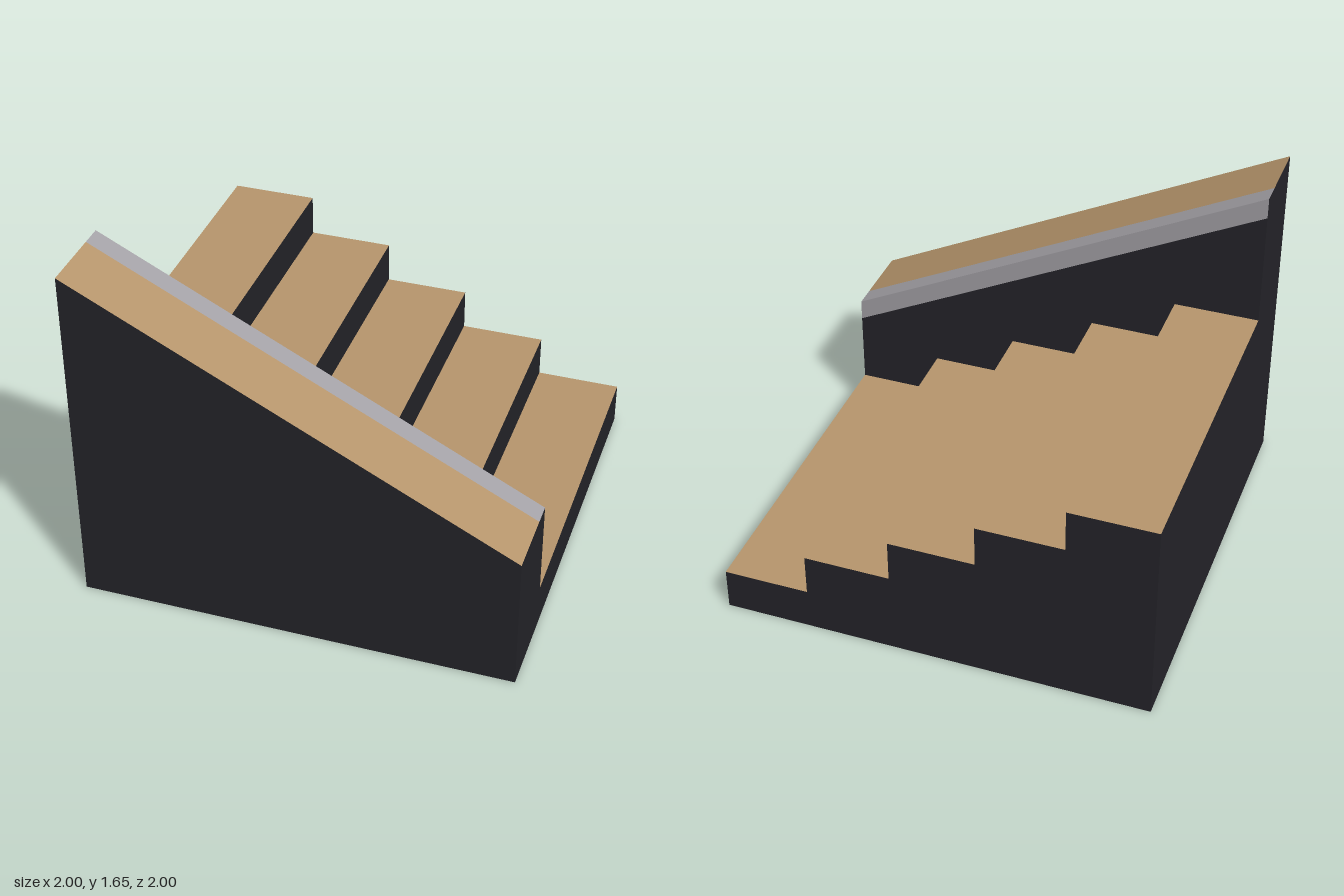
import * as THREE from 'three';

const STEPS = 5, RUN = 0.4, RISE = 0.2;
const BACK = -1, INNER = 0.6, FRONT = 1, TRIM = 0.1;

export function createModel() {
  const model = new THREE.Group();
  const material = (color) => new THREE.MeshStandardMaterial({ color, side: THREE.DoubleSide });
  const dark = material(0x25242a), wood = material(0xb8976d), grey = material(0xa5a3a8);

  const add = (name, geometry, mat, x, y, z) => {
    const mesh = new THREE.Mesh(geometry, mat);
    mesh.name = name;
    mesh.position.set(x, y, z);
    model.add(mesh);
  };

  // Flat upright panel from an outline, turned about y to face outward
  const panel = (name, points, mat, turn, x, z) => {
    const shape = new THREE.Shape(points.map(([u, v]) => new THREE.Vector2(u, v)));
    add(name, new THREE.ShapeGeometry(shape).rotateY(turn), mat, x, 0, z);
  };

  // Sawtooth line of the stairs, rising toward -x (u = -x on back-facing panels)
  const stairLine = [];
  for (let i = 0; i < STEPS; i++) {
    const y = RISE * (i + 1);
    stairLine.push([-1 + RUN * i, y], [-1 + RUN * (i + 1), y]);
  }

  // Treads and the risers between them
  const depth = INNER - BACK, midZ = (INNER + BACK) / 2;
  for (let i = 0; i < STEPS; i++) {
    const x = 1 - RUN * i, y = RISE * (i + 1);
    add(`tread${i + 1}`, new THREE.PlaneGeometry(RUN, depth).rotateX(-Math.PI / 2), wood, x - RUN / 2, y, midZ);
    if (i > 0) {
      add(`riser${i + 1}`, new THREE.PlaneGeometry(depth, RISE).rotateY(Math.PI / 2), dark, x, y - RISE / 2, midZ);
    }
  }

  // Outer walls, open underneath
  panel('backWall', [[-1, 0], ...stairLine, [1, 0]], dark, Math.PI, 0, BACK);
  panel('frontWall', [[-1, 0], [1, 0], [1, 0.65], [-1, 1.65]], dark, 0, 0, FRONT);
  panel('lowEndWall', [[-FRONT, 0], [-BACK, 0], [-BACK, RISE], [-INNER, RISE], [-INNER, 0.65], [-FRONT, 0.65]],
    dark, Math.PI / 2, 1, 0);
  panel('highEndWall', [[BACK, 0], [FRONT, 0], [FRONT, 1.65], [INNER, 1.65], [INNER, 1], [BACK, 1]],
    dark, -Math.PI / 2, -1, 0);

  // Balustrade face above the steps, with its trim band
  panel('balustradeInnerWall', [...stairLine, [1, 1.65 - TRIM], [-1, 0.65 - TRIM]], dark, Math.PI, 0, INNER);
  panel('trimSide', [[-1, 0.65 - TRIM], [1, 1.65 - TRIM], [1, 1.65], [-1, 0.65]], grey, Math.PI, 0, INNER);

  // Sloping top of the balustrade
  const slope = (name, z0, z1, mat) => add(name,
    new THREE.PlaneGeometry(Math.sqrt(5), z1 - z0).rotateX(-Math.PI / 2).rotateZ(-Math.atan(0.5)),
    mat, 0, 1.15, (z0 + z1) / 2);
  slope('trimTop', INNER, INNER + TRIM, grey);
  slope('balustradeTop', INNER + TRIM, FRONT, wood);

  return model;
}
